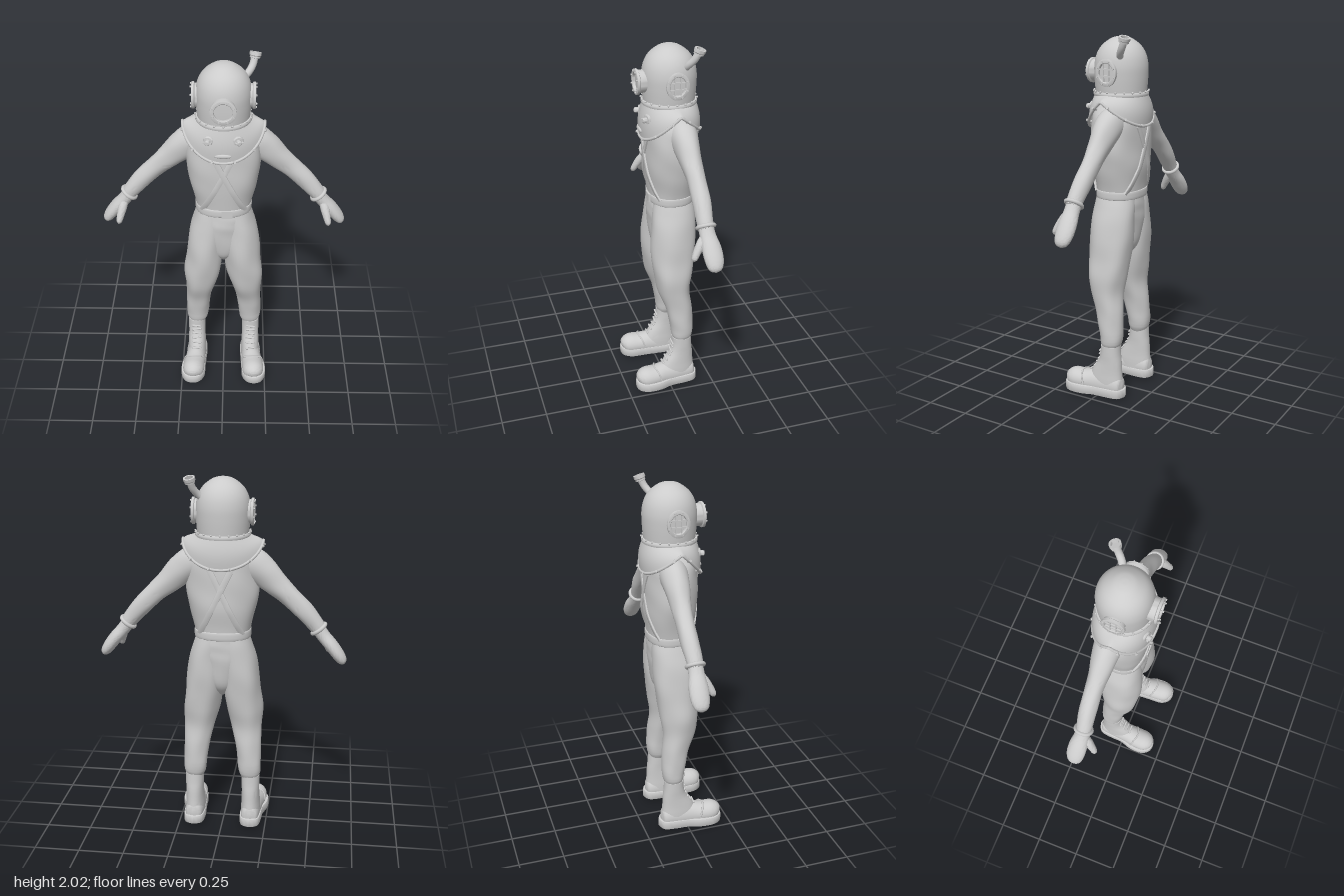
import * as THREE from 'three';
import { toCreasedNormals } from 'three/addons/utils/BufferGeometryUtils.js';

const V = (x, y, z) => new THREE.Vector3(x, y, z);
const grey = new THREE.MeshStandardMaterial({ color: 0xcccccc });
const greyThin = new THREE.MeshStandardMaterial({ color: 0xcccccc, side: THREE.DoubleSide });

// Skin through sections [x, y, z, radius across, radius in depth]; flat keeps the rings level
function loft(secs, { flat = false, depth = V(0, 0, 1), p = 2, n = 32, steps = 6, fold = 0 } = {}) {
  const path = new THREE.CatmullRomCurve3(secs.map(s => V(s[0], s[1], s[2])), false, 'catmullrom', 0.5);
  const size = new THREE.CatmullRomCurve3(secs.map(s => V(s[3], s[4], 0)), false, 'catmullrom', 0.5);
  const rows = (secs.length - 1) * steps, pos = [], idx = [];
  const pw = v => Math.sign(v) * Math.abs(v) ** (2 / p);
  for (let i = 0; i <= rows; i++) {
    const t = i / rows, c = path.getPoint(t), r = size.getPoint(t);
    const T = flat ? V(0, 1, 0) : path.getTangent(t);
    const W = depth.clone().addScaledVector(T, -depth.dot(T)).normalize();
    const U = T.clone().cross(W);
    for (let j = 0; j < n; j++) {
      const a = j / n * Math.PI * 2;
      const k = 1 + fold * Math.sin(Math.PI * t) * (Math.sin(5 * a + 9 * t) + 0.8 * Math.sin(3 * a - 24 * t));
      const q = c.clone().addScaledVector(U, pw(Math.cos(a)) * r.x * k).addScaledVector(W, pw(Math.sin(a)) * r.y * k);
      pos.push(q.x, q.y, q.z);
      if (i < rows) {
        const A = i * n + j, B = i * n + (j + 1) % n;
        idx.push(A, A + n, B, B, A + n, B + n);
      }
    }
  }
  // end caps
  for (const [t, row] of [[0, 0], [1, rows]]) {
    const c = path.getPoint(t), m = pos.length / 3;
    pos.push(c.x, c.y, c.z);
    for (let j = 0; j < n; j++) {
      const A = row * n + j, B = row * n + (j + 1) % n;
      idx.push(...(row ? [m, B, A] : [m, A, B]));
    }
  }
  const g = new THREE.BufferGeometry();
  g.setAttribute('position', new THREE.Float32BufferAttribute(pos, 3));
  g.setIndex(idx);
  g.computeVertexNormals();
  return toCreasedNormals(g, 1);
}

const lathe = (pts, n = 40) =>
  toCreasedNormals(new THREE.LatheGeometry(pts.map(p => new THREE.Vector2(...p)), n), 0.6);

const torso = [
  [0, 1.13, -0.05, 0.145, 0.118], [0, 1.2, -0.05, 0.158, 0.125], [0, 1.3, -0.05, 0.182, 0.138],
  [0, 1.4, -0.048, 0.198, 0.14], [0, 1.5, -0.048, 0.197, 0.14], [0, 1.57, -0.048, 0.185, 0.138],
  [0, 1.63, -0.048, 0.15, 0.13], [0, 1.68, -0.045, 0.11, 0.11]];

// Depth of the torso surface at x, y on the front (+1) or back (-1)
function torsoZ(x, y, side) {
  const i = Math.max(0, torso.findIndex((s, k) => k + 1 === torso.length - 1 || torso[k + 1][1] >= y));
  const t = (y - torso[i][1]) / (torso[i + 1][1] - torso[i][1]);
  const [, , cz, rx, rz] = torso[i].map((v, k) => v + (torso[i + 1][k] - v) * t);
  return cz + side * rz * (1 - Math.abs(x / rx) ** 2.3) ** (1 / 2.3);
}

// Point on the breastplate: a is the angle from the front, t runs from neck to rim
function collarPoint(a, t) {
  const s = Math.sin(a), c = Math.cos(a), out = 0.012 * Math.sin(Math.PI * t);
  const rimY = 1.66 - (c > 0 ? 0.165 : 0.135) * Math.abs(c) ** 1.15;
  const rx = 0.138 + (0.215 - 0.138) * t + out, rz = 0.14 + (0.157 - 0.14) * t + out;
  return V(rx * s, 1.69 + (rimY - 1.69) * t, -0.045 + rz * c);
}

export function createModel() {
  const model = new THREE.Group();
  const add = (name, geo, parent = model, mat = grey) => {
    const m = new THREE.Mesh(geo, mat);
    m.name = name;
    parent.add(m);
    return m;
  };
  const group = (name, parent = model) => {
    const g = new THREE.Group();
    g.name = name;
    parent.add(g);
    return g;
  };

  // Suit body, hips and belt
  add('torso', loft(torso, { flat: true, p: 2.3, n: 56, fold: 0.01 }));
  add('hips', loft([[0, 0.79, -0.045, 0.02, 0.05], [0, 0.86, -0.045, 0.09, 0.1], [0, 1, -0.047, 0.15, 0.12],
    [0, 1.08, -0.048, 0.158, 0.122], [0, 1.14, -0.05, 0.143, 0.116]], { flat: true, p: 2.2, fold: 0.012 }));
  add('belt', loft([[0, 1.127, -0.05, 0.15, 0.12], [0, 1.132, -0.05, 0.155, 0.126],
    [0, 1.168, -0.05, 0.155, 0.126], [0, 1.173, -0.05, 0.15, 0.12]], { flat: true, p: 2.3, n: 48, steps: 3 }));
  add('buckle', new THREE.BoxGeometry(0.06, 0.045, 0.012)).position.set(0.02, 1.15, 0.077);

  // Crossed straps, front and back
  for (const side of [1, -1]) for (const s of [1, -1]) {
    const secs = [];
    for (let i = 0; i <= 8; i++) {
      const x = s * (-0.06 + 0.175 * i / 8), y = 1.53 - 0.37 * i / 8;
      secs.push([x, y, torsoZ(x, y, side) + side * (s > 0 ? 0.003 : 0.001), 0.016, 0.006]);
    }
    add(side > 0 ? 'frontStrap' : 'backStrap', loft(secs, { n: 12, p: 5, steps: 3 }));
  }

  // Helmet dome and neck ring
  const helmet = group('helmet');
  helmet.position.z = -0.045;
  const dome = new THREE.SplineCurve([[0.136, 1.68], [0.14, 1.72], [0.144, 1.78], [0.144, 1.84], [0.132, 1.895],
    [0.105, 1.94], [0.06, 1.975], [0.025, 1.987], [0, 1.989]].map(p => new THREE.Vector2(...p)));
  add('dome', new THREE.LatheGeometry(dome.getPoints(40), 56), helmet);
  add('neckRing', lathe([[0.13, 1.677], [0.147, 1.679], [0.149, 1.685], [0.149, 1.693], [0.145, 1.7], [0.13, 1.702]], 56), helmet);
  for (let i = 0; i < 20; i++) {
    const a = i / 20 * Math.PI * 2;
    add('neckBolt', new THREE.SphereGeometry(0.006, 8, 6), helmet).position.set(0.148 * Math.sin(a), 1.703, 0.148 * Math.cos(a));
  }

  // Portholes, built facing local +y
  function porthole(name, depth, grid) {
    const g = group(name, helmet), d = depth;
    add('frame', lathe([[0.052, 0], [0.06, 0], [0.06, d - 0.018], [0.068, d - 0.014], [0.068, d - 0.002],
      [0.064, d], [0.05, d], [0.047, d - 0.003], [0.047, d - 0.016], [0, d - 0.014]]), g);
    for (let i = 0; i < 8; i++) {
      const a = (i + 0.5) / 8 * Math.PI * 2;
      add('frameBolt', new THREE.CylinderGeometry(0.005, 0.005, 0.008, 8), g).position.set(0.058 * Math.cos(a), d + 0.002, 0.058 * Math.sin(a));
    }
    if (grid) for (const k of [-0.017, 0.017]) {
      add('grille', new THREE.BoxGeometry(0.007, 0.007, 0.094), g).position.set(k, d - 0.006, 0);
      add('grille', new THREE.BoxGeometry(0.094, 0.007, 0.007), g).position.set(0, d - 0.006, k);
    }
    return g;
  }
  const front = porthole('frontPorthole', 0.07, false);
  front.position.set(0, 1.802, 0.115);
  front.rotation.x = Math.PI / 2;
  for (const s of [1, -1]) {
    const win = porthole('sidePorthole', 0.058, true);
    win.position.set(s * 0.107, 1.808, 0);
    win.rotation.z = -s * Math.PI / 2;
    win.scale.set(1.06, 1, 0.9);
  }

  // Air pipe with flared mouth
  const pipe = new THREE.CatmullRomCurve3([V(0.08, 1.865, -0.09), V(0.125, 1.905, -0.11), V(0.148, 1.94, -0.135), V(0.158, 1.985, -0.156)]);
  add('airPipe', new THREE.TubeGeometry(pipe, 20, 0.019, 16));
  const mouth = add('pipeMouth', lathe([[0.018, 0], [0.027, 0.003], [0.027, 0.012], [0.031, 0.016], [0.031, 0.032], [0.021, 0.032], [0.021, 0.012], [0, 0.012]], 24));
  mouth.position.set(0.157, 1.965, -0.15);
  mouth.quaternion.setFromUnitVectors(V(0, 1, 0), V(0.15, 0.95, -0.3).normalize());

  // Breastplate with rolled rim and bolts
  const plate = new THREE.PlaneGeometry(1, 1, 72, 10), pp = plate.attributes.position;
  for (let i = 0; i < pp.count; i++) {
    const q = collarPoint((pp.getX(i) + 0.5) * Math.PI * 2, 0.5 - pp.getY(i));
    pp.setXYZ(i, q.x, q.y, q.z);
  }
  plate.computeVertexNormals();
  const collar = group('breastplate');
  add('plate', plate, collar, greyThin);
  const rim = Array.from({ length: 48 }, (_, i) => collarPoint(i / 48 * Math.PI * 2, 1));
  add('rim', new THREE.TubeGeometry(new THREE.CatmullRomCurve3(rim, true), 120, 0.008, 8, true), collar);
  for (let i = 0; i < 12; i++) {
    const a = (i + 0.5) / 12 * Math.PI * 2, b = add('rimBolt', new THREE.CylinderGeometry(0.007, 0.007, 0.03, 8), collar);
    b.position.copy(collarPoint(a, 1));
    b.quaternion.setFromUnitVectors(V(0, 1, 0), V(Math.sin(a), 0.35, Math.cos(a)).normalize());
  }
  add('badge', new THREE.SphereGeometry(1, 20, 10), collar).scale.set(0.045, 0.012, 0.008);
  collar.children.at(-1).position.set(0, 1.54, 0.118);

  for (const s of [1, -1]) {
    const mx = list => list.map(([x, ...r]) => [s * x, ...r]);

    // Chest valve
    const valve = group('chestValve', collar);
    valve.position.set(s * 0.07, 1.617, 0.075);
    valve.rotation.set(Math.PI / 2, 0, -s * 0.3);
    add('valveBody', lathe([[0.029, 0], [0.029, 0.022], [0.024, 0.027], [0.014, 0.028], [0.014, 0.045], [0.01, 0.05], [0, 0.051]], 20), valve);
    add('valveHandle', new THREE.BoxGeometry(0.044, 0.012, 0.008), valve).position.y = 0.04;

    // Sleeve, cuff and mitten
    const arm = group(s > 0 ? 'leftArm' : 'rightArm');
    add('sleeve', loft(mx([[0.09, 1.56, -0.07, 0.07, 0.07], [0.155, 1.54, -0.073, 0.087, 0.075], [0.22, 1.495, -0.075, 0.081, 0.066],
      [0.29, 1.43, -0.078, 0.066, 0.054], [0.36, 1.368, -0.082, 0.055, 0.047], [0.44, 1.29, -0.082, 0.052, 0.047],
      [0.5, 1.22, -0.078, 0.045, 0.043], [0.53, 1.18, -0.078, 0.04, 0.04]]), { fold: 0.016 }), arm);
    const cuff = add('cuff', new THREE.TorusGeometry(0.043, 0.011, 10, 28), arm);
    cuff.position.set(s * 0.522, 1.19, -0.078);
    cuff.quaternion.setFromUnitVectors(V(0, 0, 1), V(s * 0.62, -0.78, 0).normalize());
    add('mitten', loft(mx([[0.515, 1.197, -0.078, 0.038, 0.04], [0.55, 1.15, -0.08, 0.036, 0.042], [0.59, 1.105, -0.085, 0.036, 0.05],
      [0.625, 1.06, -0.088, 0.034, 0.05], [0.65, 1.025, -0.088, 0.028, 0.041], [0.662, 1.008, -0.088, 0.017, 0.026],
      [0.667, 1.001, -0.088, 0.002, 0.003]])), arm);
    add('thumb', loft(mx([[0.545, 1.155, -0.065, 0.02, 0.02], [0.56, 1.115, -0.04, 0.024, 0.024], [0.572, 1.075, -0.015, 0.02, 0.02],
      [0.58, 1.045, 0, 0.015, 0.015], [0.584, 1.033, 0.005, 0.002, 0.002]]), { n: 18, depth: V(0, 0.5, 1) }), arm);

    // Baggy trouser leg
    const leg = group(s > 0 ? 'leftLeg' : 'rightLeg');
    add('trouserLeg', loft(mx([[0.157, 0.285, -0.075, 0.046, 0.046], [0.157, 0.315, -0.077, 0.06, 0.058], [0.155, 0.36, -0.077, 0.065, 0.064],
      [0.152, 0.42, -0.07, 0.068, 0.069], [0.145, 0.5, -0.06, 0.073, 0.076], [0.133, 0.6, -0.037, 0.086, 0.09],
      [0.122, 0.7, -0.035, 0.102, 0.106], [0.108, 0.8, -0.038, 0.103, 0.118], [0.099, 0.9, -0.042, 0.103, 0.124],
      [0.087, 1, -0.046, 0.1, 0.121], [0.073, 1.08, -0.05, 0.09, 0.117], [0.064, 1.14, -0.05, 0.078, 0.11]]),
    { flat: true, p: 2.15, fold: 0.022 }), leg);

    // Boot: shaft, foot, toe cap seam, laces and sole
    const boot = group('boot', leg);
    add('shaft', loft(mx([[0.162, 0.04, -0.045, 0.055, 0.105], [0.162, 0.09, -0.045, 0.055, 0.103], [0.162, 0.14, -0.053, 0.052, 0.09],
      [0.162, 0.2, -0.07, 0.05, 0.069], [0.162, 0.25, -0.075, 0.051, 0.058], [0.162, 0.3, -0.075, 0.051, 0.055]]), { flat: true, p: 2.2 }), boot);
    add('foot', loft(mx([[0.162, 0.06, -0.152, 0.01, 0.02], [0.162, 0.06, -0.135, 0.045, 0.06], [0.163, 0.06, -0.06, 0.055, 0.075],
      [0.169, 0.06, 0.03, 0.058, 0.072], [0.176, 0.062, 0.09, 0.063, 0.06], [0.18, 0.062, 0.145, 0.062, 0.06],
      [0.183, 0.058, 0.178, 0.046, 0.045], [0.184, 0.052, 0.194, 0.015, 0.014]]), { depth: V(0, 1, 0) }), boot);
    const seam = new THREE.CatmullRomCurve3([[0.112, 0.06, 0.065], [0.125, 0.105, 0.08], [0.176, 0.123, 0.095], [0.225, 0.105, 0.08], [0.24, 0.06, 0.065]]
      .map(([x, y, z]) => V(s * x, y, z)));
    add('toeSeam', new THREE.TubeGeometry(seam, 24, 0.005, 6), boot);
    for (let i = 0; i < 6; i++) {
      const t = i / 5, y = 0.265 - 0.125 * t, z = -0.018 + 0.058 * t * t;
      const lace = add('lace', new THREE.CapsuleGeometry(0.006, 0.045, 4, 8), boot);
      lace.position.set(s * 0.163, y, z);
      lace.rotation.z = Math.PI / 2 + (i % 2 ? 0.12 : -0.12);
    }
    const outline = new THREE.Shape(new THREE.SplineCurve([[0.162, -0.16], [0.205, -0.14], [0.217, -0.08], [0.222, 0], [0.243, 0.07],
      [0.245, 0.14], [0.222, 0.183], [0.184, 0.196], [0.145, 0.183], [0.12, 0.14], [0.117, 0.07], [0.113, 0], [0.109, -0.08], [0.12, -0.14], [0.162, -0.16]]
      .map(([x, z]) => new THREE.Vector2(s * x, z))).getPoints(56).slice(0, -1));
    const sole = new THREE.ExtrudeGeometry(outline, { depth: 0.036, bevelThickness: 0.007, bevelSize: 0.007, bevelSegments: 2 });
    sole.rotateX(Math.PI / 2).translate(0, 0.043, 0);
    add('sole', toCreasedNormals(sole, 0.6), boot);
  }
  return model;
}
